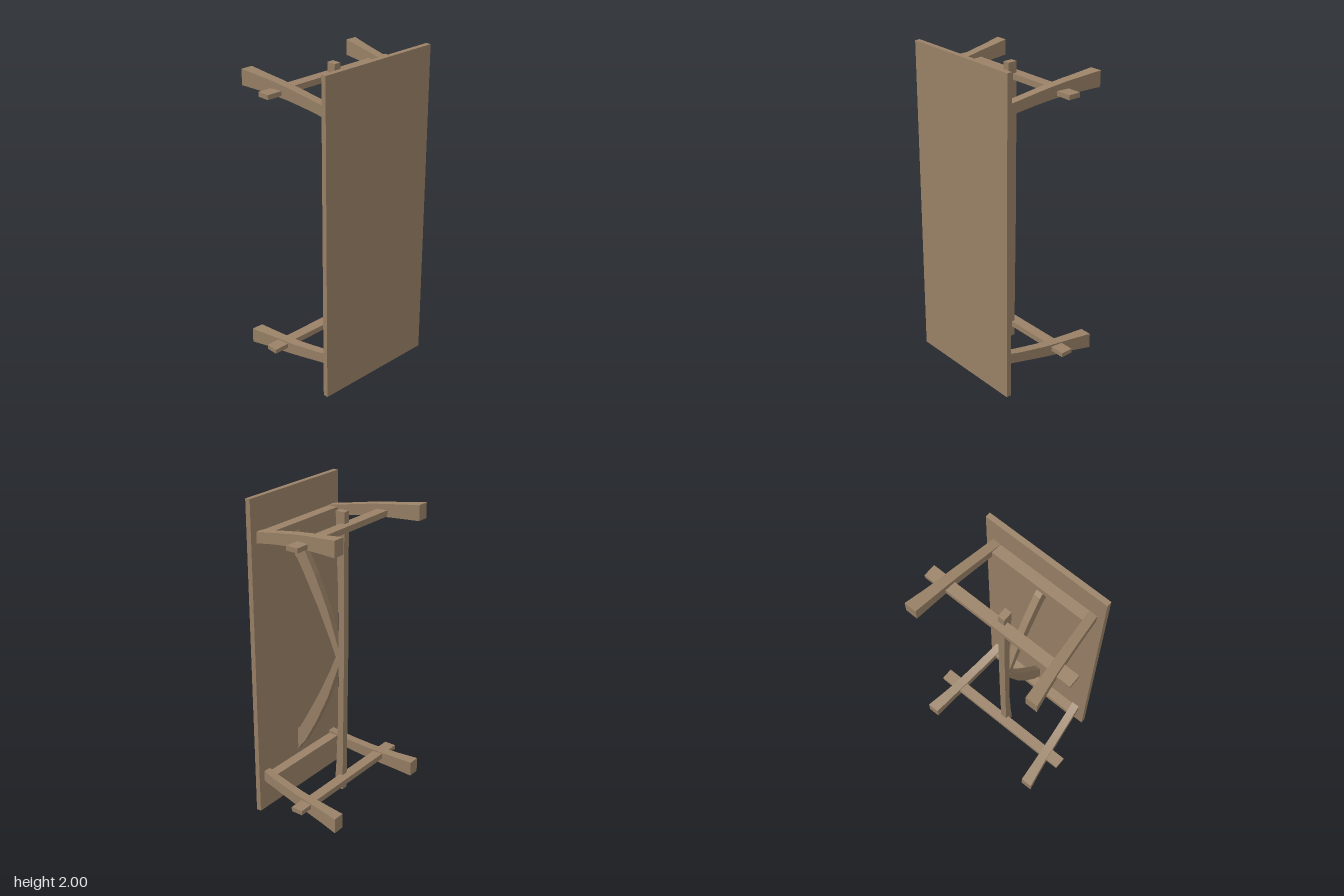
import * as THREE from 'three';

const wood = new THREE.MeshStandardMaterial({ color: 0x9a8267 });
wood.name = 'wood';

export function createModel() {
  const model = new THREE.Group();
  model.name = 'trestleTable';

  const add = (name, geometry) => {
    const mesh = new THREE.Mesh(geometry, wood);
    mesh.name = name;
    model.add(mesh);
  };

  // Box given by its limits on each axis
  const block = (name, [x0, x1], [y0, y1], [z0, z1]) => add(name,
    new THREE.BoxGeometry(x1 - x0, y1 - y0, z1 - z0)
      .translate((x0 + x1) / 2, (y0 + y1) / 2, (z0 + z1) / 2));

  // Side profile of [z, y] points, extruded across x
  const plank = (name, points, width) => {
    const shape = new THREE.Shape(points.map(([z, y]) => new THREE.Vector2(-z, y)));
    add(name, new THREE.ExtrudeGeometry(shape, { depth: width, bevelEnabled: false })
      .translate(0, 0, -width / 2).rotateY(Math.PI / 2));
  };

  // Curved, tapering leg: sections are [z, xInner, xOuter, yLow, yHigh]
  const legSections = [
    [-0.32, 0.365, 0.44, 1.8, 1.895],
    [-0.2, 0.354, 0.418, 1.795, 1.88],
    [-0.1, 0.344, 0.402, 1.79, 1.869],
    [0, 0.334, 0.39, 1.783, 1.855],
    [0.1, 0.323, 0.377, 1.77, 1.838],
    [0.2, 0.312, 0.365, 1.755, 1.82],
    [0.29, 0.303, 0.354, 1.735, 1.805],
  ];
  const leg = (name, side, end) => {
    const n = legSections.length - 1;
    const geometry = new THREE.BoxGeometry(1, 1, 1, 1, 1, n);
    const p = geometry.attributes.position;
    for (let i = 0; i < p.count; i++) {
      const [z, x0, x1, y0, y1] = legSections[Math.round((p.getZ(i) + 0.5) * n)];
      p.setXYZ(i,
        side * (x0 + x1) / 2 + p.getX(i) * (x1 - x0),
        1 + end * ((y0 + y1) / 2 - 1) + p.getY(i) * (y1 - y0), z);
    }
    geometry.computeVertexNormals();
    add(name, geometry);
  };

  // Table top standing on its short edge
  block('tableTop', [-0.4, 0.4], [0, 2], [0.288, 0.32]);

  // Long stretcher, slightly slimmer in the middle
  plank('longStretcher', [
    [-0.065, 0.1], [-0.005, 0.1], [-0.018, 0.3], [-0.03, 0.6], [-0.032, 1],
    [-0.03, 1.4], [-0.018, 1.7], [-0.012, 1.9], [-0.072, 1.9], [-0.073, 1],
  ], 0.043);

  // Curved brace profile
  const brace = [
    [0.29, 1.735], [0.265, 1.69], [0.23, 1.65], [0.14, 1.485], [0.05, 1.29],
    [-0.01, 1.12], [-0.034, 1.05], [-0.034, 1], [-0.01, 1.003], [0.03, 1.1],
    [0.115, 1.28], [0.22, 1.475], [0.27, 1.56], [0.29, 1.58],
  ];

  for (const end of [-1, 1]) {
    const at = end > 0 ? 'upper' : 'lower';
    const span = (a, b) => end > 0 ? [a, b] : [2 - b, 2 - a];

    for (const side of [-1, 1]) {
      const hand = side > 0 ? 'Left' : 'Right';
      leg(at + hand + 'Leg', side, end);
      // Tenon poking through the leg
      block(at + hand + 'Tenon', side > 0 ? [0.37, 0.49] : [-0.49, -0.37],
        span(1.798, 1.826), [-0.115, -0.038]);
    }
    // Rail and apron joining each pair of legs
    block(at + 'Rail', [-0.37, 0.37], span(1.796, 1.832), [-0.112, -0.045]);
    block(at + 'Apron', [-0.32, 0.32], span(1.757, 1.802), [0.223, 0.289]);
    plank(at + 'Brace', brace.map(([z, y]) => [z, 1 + end * (y - 1)]), 0.042);
  }

  return model;
}
